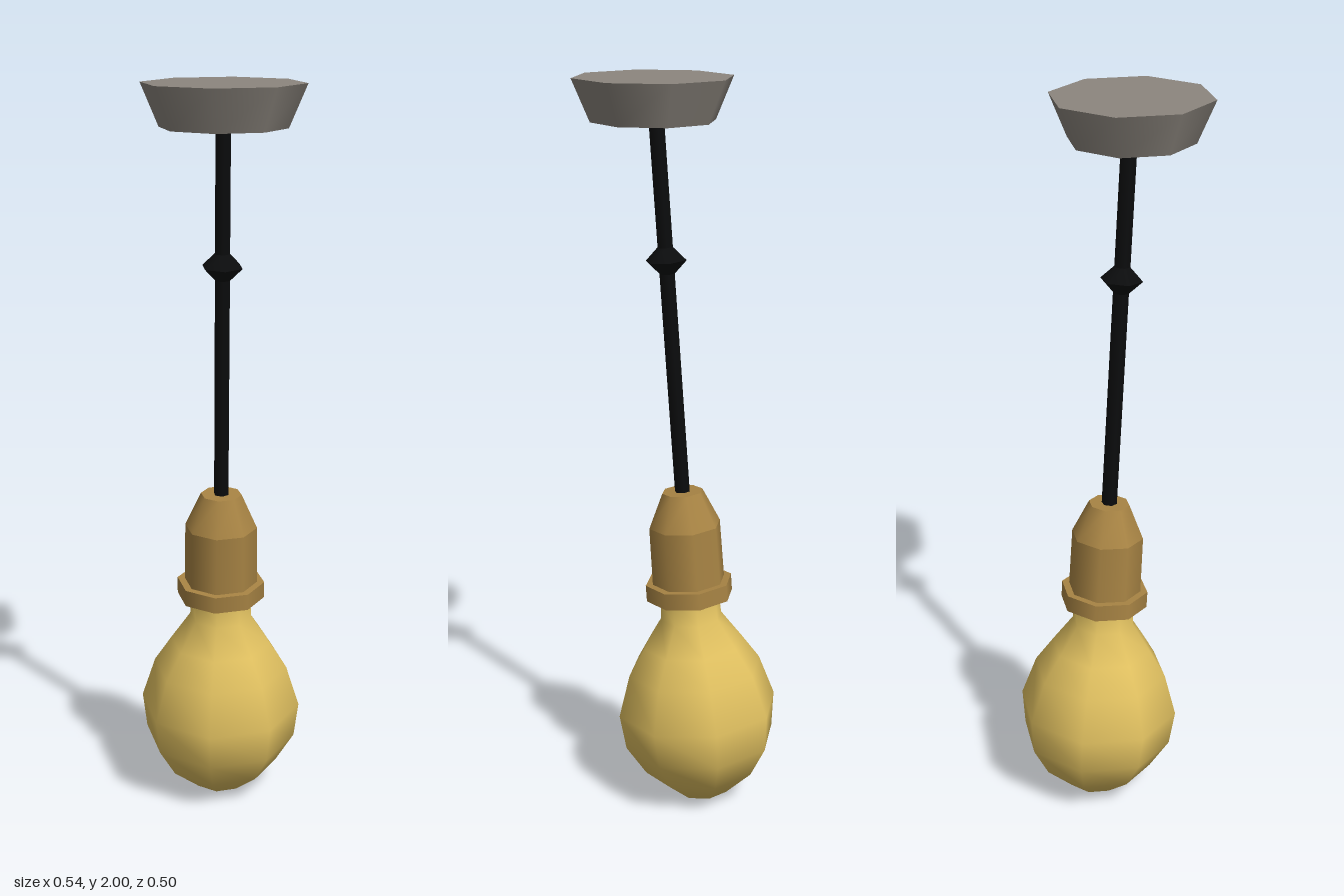
import * as THREE from 'three';

const material = (name, color) => {
  const m = new THREE.MeshStandardMaterial({ color });
  m.name = name;
  return m;
};

export function createModel() {
  const glass = material('warm glass', 0xe0c060);
  const brass = material('brass', 0xa88444);
  const black = material('black cord', 0x0b0c0d);
  const grey = material('grey metal', 0x8c867e);

  const model = new THREE.Group();
  model.name = 'pendantLamp';

  const add = (parent, name, geometry, mat) => {
    const mesh = new THREE.Mesh(geometry, mat);
    mesh.name = name;
    parent.add(mesh);
    return mesh;
  };
  // Cylinder or cone spanning two heights
  const drum = (parent, name, rTop, rBottom, y0, y1, sides, mat) => {
    const g = new THREE.CylinderGeometry(rTop, rBottom, y1 - y0, sides);
    return add(parent, name, g.translate(0, (y0 + y1) / 2, 0), mat);
  };

  // Level ceiling mount
  const mount = drum(model, 'ceilingMount', 0.211, 0.164, 1.89, 2, 8, grey);
  mount.position.set(0.058, 0, 0.04);

  // Everything below swings slightly off vertical
  const hanging = new THREE.Group();
  hanging.name = 'hangingLamp';
  hanging.position.set(-0.062, 0, -0.04);
  hanging.quaternion.setFromUnitVectors(
    new THREE.Vector3(0, 1, 0),
    new THREE.Vector3(0.06, 1, 0.04).normalize()
  );
  model.add(hanging);

  // Cord with a knot
  drum(hanging, 'cord', 0.021, 0.021, 0.89, 1.92, 6, black);
  drum(hanging, 'knotTop', 0.02, 0.056, 1.537, 1.573, 6, black);
  drum(hanging, 'knotBottom', 0.056, 0.02, 1.501, 1.537, 6, black);

  // Socket
  drum(hanging, 'socketCap', 0.056, 0.099, 0.81, 0.905, 8, brass);
  drum(hanging, 'socketBody', 0.099, 0.101, 0.64, 0.81, 8, brass);
  drum(hanging, 'socketRing', 0.121, 0.121, 0.602, 0.648, 8, brass);

  // Bulb, bottom to neck
  const profile = [
    [0, 0.002], [0.077, 0.013], [0.161, 0.086], [0.212, 0.172], [0.224, 0.272],
    [0.187, 0.388], [0.139, 0.462], [0.086, 0.54], [0.082, 0.61],
  ].map(([r, y]) => new THREE.Vector2(r, y));
  add(hanging, 'bulb', new THREE.LatheGeometry(profile, 8), glass);

  return model;
}
